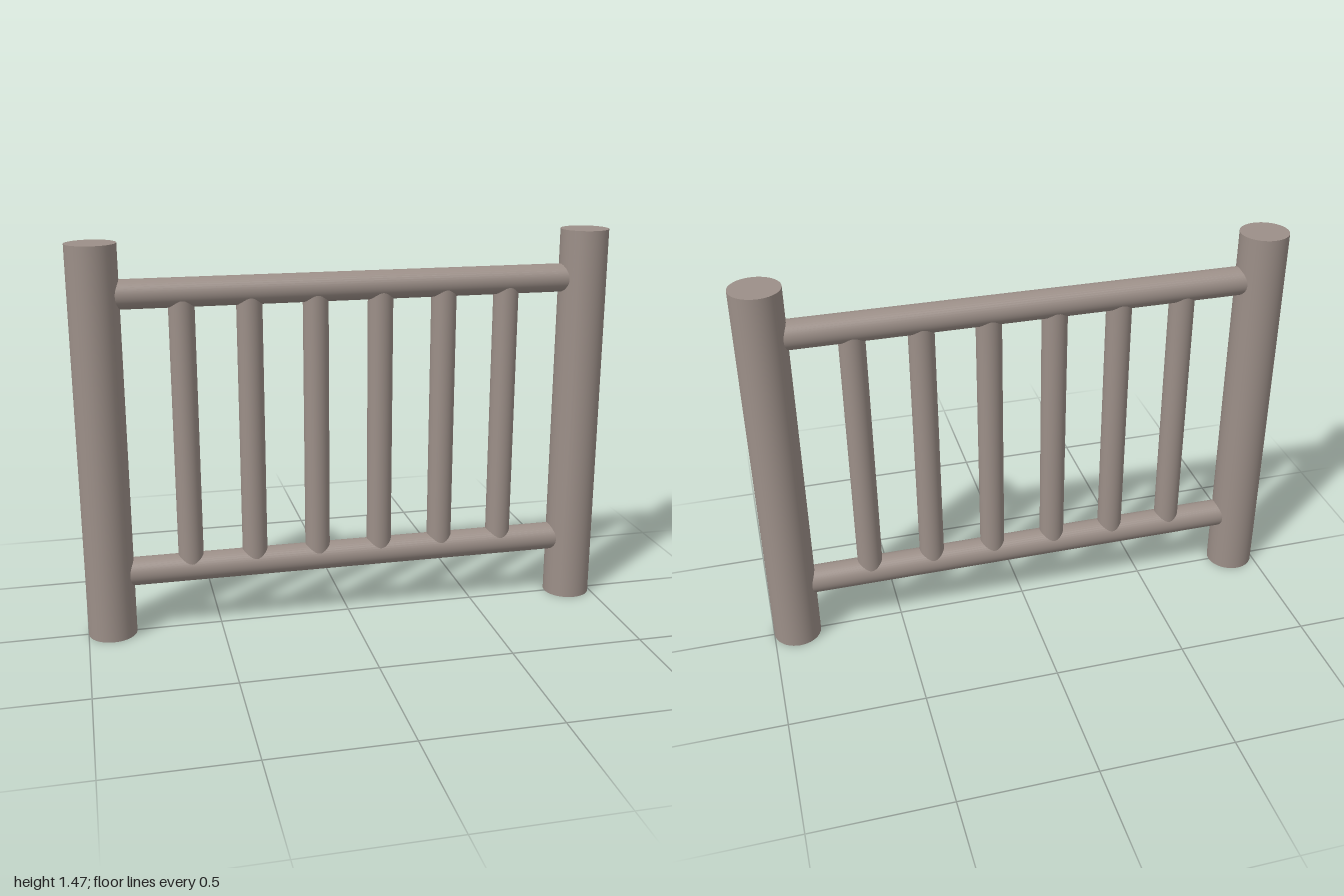
import * as THREE from 'three';

export function createModel() {
  const model = new THREE.Group();
  const wood = new THREE.MeshStandardMaterial({ color: 0x9c8f88 });
  wood.name = 'greyBrownWood';

  // Upright round pole spanning the heights bottom to top
  function pole(name, radius, bottom, top, x) {
    const mesh = new THREE.Mesh(
      new THREE.CylinderGeometry(radius, radius, top - bottom, 40), wood);
    mesh.name = name;
    mesh.position.set(x, (bottom + top) / 2, 0);
    model.add(mesh);
  }

  // Posts at both ends
  pole('leftPost', 0.09, 0, 1.465, 0.91);
  pole('rightPost', 0.09, 0, 1.465, -0.91);

  // Horizontal rails, running into the posts
  const railHeights = { bottomRail: 0.24, topRail: 1.283 };
  for (const [name, y] of Object.entries(railHeights)) {
    const rail = new THREE.Mesh(
      new THREE.CylinderGeometry(0.053, 0.053, 1.82, 40), wood);
    rail.name = name;
    rail.rotation.z = Math.PI / 2;
    rail.position.y = y;
    model.add(rail);
  }

  // Evenly spaced balusters between the rails
  for (let i = 0; i < 6; i++) {
    pole('baluster' + (i + 1), 0.047, railHeights.bottomRail, railHeights.topRail, (i - 2.5) * 0.2425);
  }

  return model;
}
